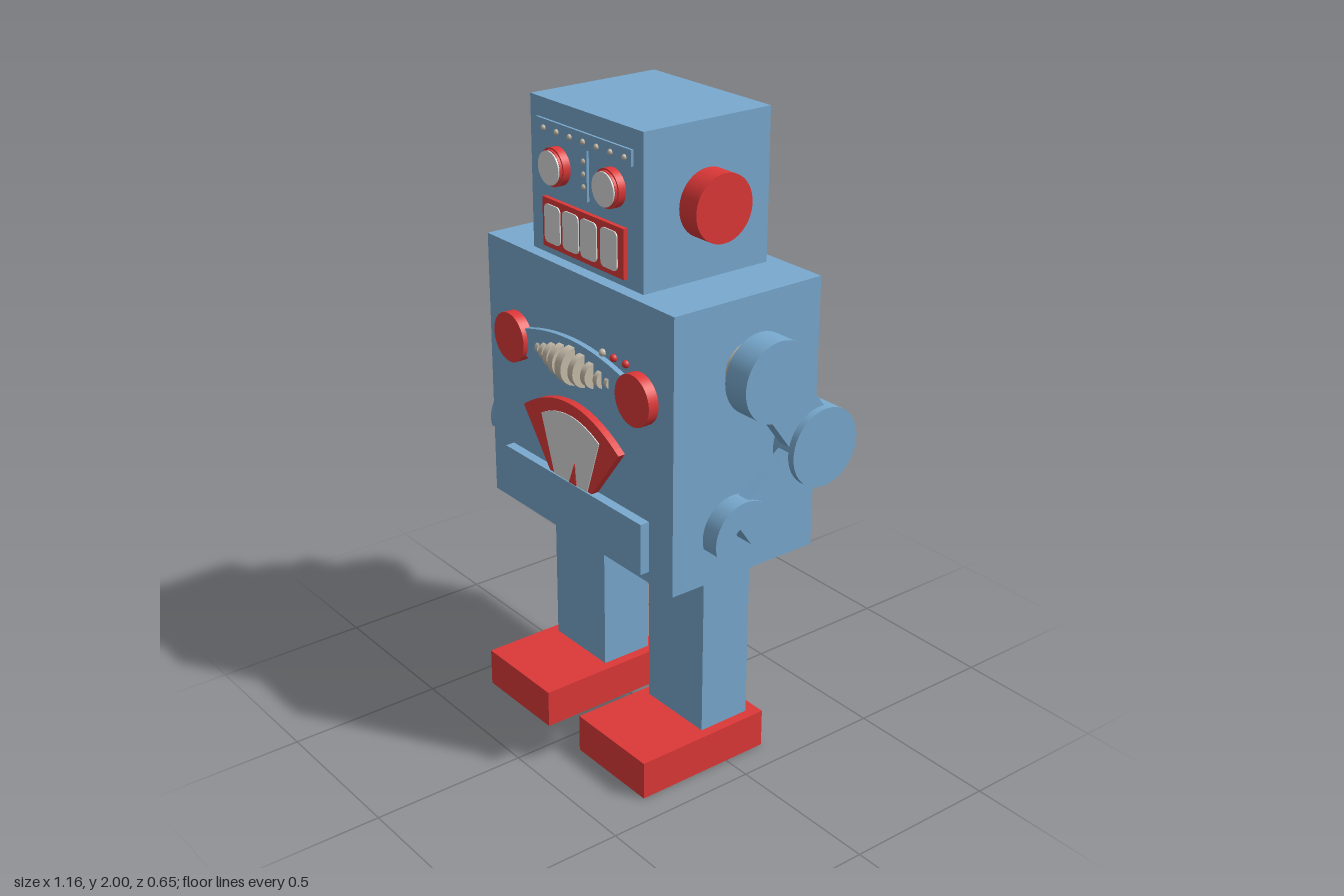
import * as THREE from 'three';

const mat = (name, color) => {
  const m = new THREE.MeshStandardMaterial({ color });
  m.name = name;
  return m;
};

export function createModel() {
  const blue = mat('paintedBlue', 0x78a9ce);
  const red = mat('brightRed', 0xdd3838);
  const tan = mat('warmMetal', 0xc6bcaa);
  const white = mat('paleGrey', 0xdadada);
  const root = new THREE.Group();
  root.name = 'toyRobot';

  const add = (name, geo, material, x = 0, y = 0, z = 0, parent = root) => {
    const m = new THREE.Mesh(geo, material);
    m.name = name;
    m.position.set(x, y, z);
    parent.add(m);
    return m;
  };
  // box given by its limits on each axis
  const box = (name, material, [x0, x1], [y0, y1], [z0, z1], parent) =>
    add(name, new THREE.BoxGeometry(x1 - x0, y1 - y0, z1 - z0), material,
      (x0 + x1) / 2, (y0 + y1) / 2, (z0 + z1) / 2, parent);
  // discs lying across the x axis or facing the front
  const discX = (name, material, r, w, x, y, z, parent) =>
    add(name, new THREE.CylinderGeometry(r, r, w, 48).rotateZ(Math.PI / 2), material, x, y, z, parent);
  const discZ = (name, material, r, z0, z1, x, y, parent) =>
    add(name, new THREE.CylinderGeometry(r, r, z1 - z0, 48).rotateX(Math.PI / 2), material, x, y, (z0 + z1) / 2, parent);
  // flat outline pushed forward from z0 to z1
  const plate = (name, material, shape, z0, z1, parent) =>
    add(name, new THREE.ExtrudeGeometry(shape, { depth: z1 - z0, bevelEnabled: false, curveSegments: 24 }),
      material, 0, 0, z0, parent);

  // body and head
  box('body', blue, [-0.452, 0.446], [0.683, 1.54], [-0.283, 0.25]);
  const head = new THREE.Group();
  head.name = 'head';
  root.add(head);
  box('headBox', blue, [-0.265, 0.261], [1.54, 2], [-0.24, 0.21], head);
  for (const s of [-1, 1]) discX('ear', red, 0.101, 0.075, -0.003 + s * 0.3, 1.762, -0.015, head);

  // brow and nose with rivets
  box('brow', blue, [-0.228, 0.217], [1.895, 1.942], [0.21, 0.218], head);
  box('nose', blue, [-0.016, 0.014], [1.745, 1.895], [0.21, 0.218], head);
  const rivet = new THREE.SphereGeometry(0.009, 12, 8);
  for (let i = -3; i <= 3; i++) add('browRivet', rivet, tan, -0.001 + i * 0.063, 1.916, 0.218, head);
  for (let i = 0; i < 3; i++) add('noseRivet', rivet, tan, -0.001, 1.86 - i * 0.037, 0.216, head);

  // eyes
  for (const x of [-0.13, 0.127]) {
    discZ('eyeRim', red, 0.057, 0.21, 0.235, x, 1.816, head);
    discZ('eyeHub', red, 0.052, 0.235, 0.243, x, 1.816, head);
    discZ('eyeLens', white, 0.05, 0.243, 0.248, x, 1.816, head);
  }

  // mouth with four rounded teeth
  box('mouth', red, [-0.196, 0.19], [1.566, 1.714], [0.21, 0.224], head);
  for (const x of [-0.145, -0.056, 0.03, 0.125]) {
    const w = 0.038, h = 0.058, r = 0.016, t = new THREE.Shape();
    const y = 1.64;
    t.absarc(x + w - r, y + h - r, r, 0, Math.PI / 2);
    t.absarc(x - w + r, y + h - r, r, Math.PI / 2, Math.PI);
    t.absarc(x - w + r, y - h + r, r, Math.PI, Math.PI * 1.5);
    t.absarc(x + w - r, y - h + r, r, Math.PI * 1.5, Math.PI * 2);
    plate('tooth', white, t, 0.224, 0.228, head);
  }

  // chest panel with knobs, ribbed coil and lamps
  const panel = new THREE.Shape();
  panel.moveTo(-0.25, 1.215);
  panel.quadraticCurveTo(0, 1.155, 0.25, 1.215);
  panel.lineTo(0.25, 1.297);
  panel.quadraticCurveTo(0, 1.377, -0.25, 1.297);
  panel.closePath();
  plate('chestPanel', blue, panel, 0.25, 0.268);
  for (const s of [-1, 1]) discZ('chestKnob', red, 0.078, 0.25, 0.284, -0.001 + s * 0.303, 1.256);
  const ribs = [[0, 0.06, 0.03], [0.05, 0.052, 0.024], [0.094, 0.04, 0.022], [0.135, 0.027, 0.018], [0.17, 0.017, 0.014]];
  for (const [x, r, w] of ribs)
    for (const s of x ? [-1, 1] : [1]) discX('coilRib', tan, r, w, -0.002 + s * x, 1.26, 0.26);
  [[0.127, tan], [0.179, red], [0.235, red]].forEach(([x, m]) =>
    add('chestLamp', new THREE.SphereGeometry(0.012, 16, 12), m, x, 1.337, 0.252));

  // fan-shaped gauge, pointer and lower box
  const fan = (top, side, peak, base, cx) => {
    const f = new THREE.Shape();
    f.moveTo(cx - base, 0.88);
    f.lineTo(cx + base, 0.88);
    f.lineTo(cx + top, side);
    f.quadraticCurveTo(cx, 2 * peak - side, cx - top, side);
    f.closePath();
    return f;
  };
  plate('gaugeFrame', red, fan(0.237, 1.054, 1.137, 0.104, -0.011), 0.25, 0.274);
  plate('gaugeDial', white, fan(0.144, 1.06, 1.1, 0.082, -0.008), 0.274, 0.277);
  const needle = new THREE.Shape([[-0.014, 0.88], [0.024, 0.88], [0.017, 0.955]].map(p => new THREE.Vector2(...p)));
  plate('gaugeNeedle', red, needle, 0.277, 0.279);
  box('lowerBox', blue, [-0.344, 0.338], [0.72, 0.882], [0.25, 0.281]);

  // legs and feet
  for (const s of [-1, 1]) {
    const c = -0.002 + s * 0.246;
    box('leg', blue, [c - 0.131, c + 0.131], [0.12, 0.69], [-0.103, 0.074]);
    box('foot', red, [c - 0.163, c + 0.163], [0, 0.124], [-0.143, 0.323]);
  }

  // arms: joints given as [y, z]
  const shoulder = [1.325, -0.017], elbow = [1.076, -0.201], hand = [0.873, 0.08];
  const link = (name, a, b, x, parent) => {
    const dy = b[0] - a[0], dz = b[1] - a[1];
    const m = add(name, new THREE.BoxGeometry(0.042, 0.16, Math.hypot(dy, dz) - 0.12), blue,
      x, (a[0] + b[0]) / 2, (a[1] + b[1]) / 2, parent);
    m.rotation.x = Math.atan2(-dy, dz);
  };
  const claw = new THREE.Shape();
  const notch = Math.asin(0.036 / 0.109);
  claw.absarc(0, 0, 0.109, notch, Math.PI * 2 - notch, false);
  claw.lineTo(0, -0.036);
  claw.lineTo(0, 0.036);
  claw.closePath();
  const clawGeo = new THREE.ExtrudeGeometry(claw, { depth: 0.058, bevelEnabled: false, curveSegments: 48 })
    .translate(0, 0, -0.029).rotateZ(-0.61).rotateY(-Math.PI / 2);
  for (const s of [-1, 1]) {
    const arm = new THREE.Group();
    arm.name = s > 0 ? 'leftArm' : 'rightArm';
    root.add(arm);
    const x = -0.002 + s * 0.536;
    discX('shoulderShaft', tan, 0.084, 0.07, s * 0.465, ...shoulder, arm);
    discX('shoulderDisc', blue, 0.122, 0.087, x, ...shoulder, arm);
    discX('elbowDisc', blue, 0.122, 0.087, x, ...elbow, arm);
    link('upperArm', shoulder, elbow, x, arm);
    link('forearm', elbow, hand, x, arm);
    add('clawHand', clawGeo, blue, x, ...hand, arm);
  }
  return root;
}
